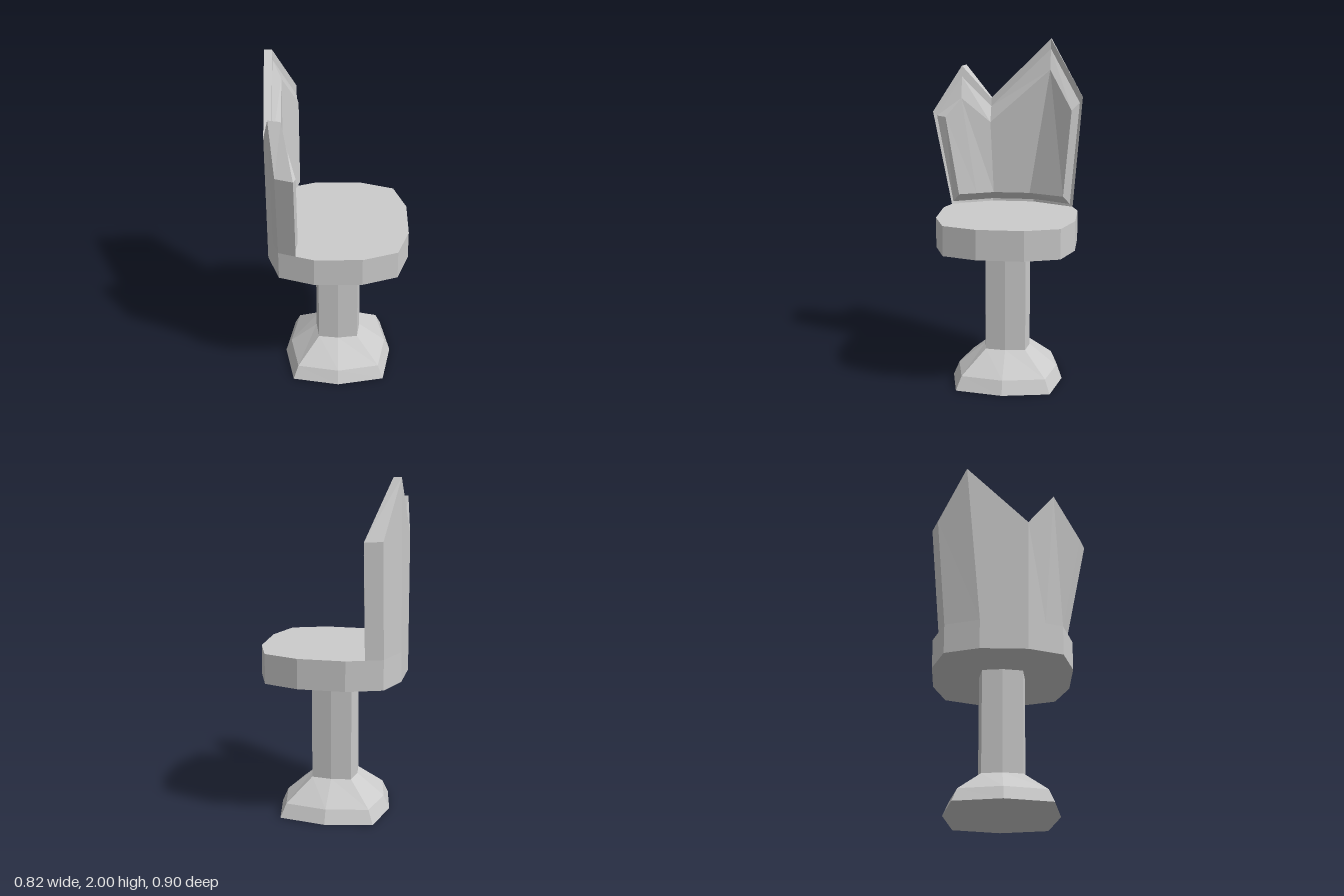
import * as THREE from 'three';

const material = new THREE.MeshStandardMaterial({ color: 0xcccccc, flatShading: true });

// Faceted solid through matching loops of points (clockwise seen from the last loop's side).
// Caps are laddered between point i and its partner n-1-i, so notched outlines work too.
function loft(name, loops) {
  const pos = [];
  const quad = (a, b, c, d) => [a, b, c, a, c, d].forEach((p) => pos.push(...p));
  const n = loops[0].length;
  for (let k = 0; k < loops.length - 1; k++) {
    const a = loops[k], b = loops[k + 1];
    for (let i = 0; i < n; i++) {
      const j = (i + 1) % n;
      quad(a[i], b[i], b[j], a[j]);
    }
  }
  const first = loops[0], last = loops[loops.length - 1];
  for (let i = 0; i < n / 2 - 1; i++) {
    const p = n - 1 - i;
    quad(last[i], last[p], last[p - 1], last[i + 1]);
    quad(first[i + 1], first[p - 1], first[p], first[i]);
  }
  const geometry = new THREE.BufferGeometry();
  geometry.setAttribute('position', new THREE.Float32BufferAttribute(pos, 3));
  geometry.computeVertexNormals();
  const mesh = new THREE.Mesh(geometry, material);
  mesh.name = name;
  return mesh;
}

const CZ = -0.03; // centre line of seat, column and foot

// Square ring with slightly bulging sides: c = corner, m = middle of a side
const bulgedSquare = (c, m, y) =>
  [[c, -c], [m, 0], [c, c], [0, m], [-c, c], [-m, 0], [-c, -c], [0, -m]]
    .map(([x, z]) => [x, y, z + CZ]);

// Twelve-sided seat outline
const seatRing = (y) =>
  [[0.41, -0.135], [0.41, 0.135], [0.34, 0.333], [0.137, 0.403],
    [-0.137, 0.403], [-0.34, 0.333], [-0.41, 0.135], [-0.41, -0.135],
    [-0.34, -0.333], [-0.137, -0.403], [0.137, -0.403], [0.34, -0.333]]
    .map(([x, z]) => [x, y, z + CZ]);

export function createModel() {
  const group = new THREE.Group();
  group.name = 'chair';

  group.add(loft('foot', [
    bulgedSquare(0.275, 0.328, 0),
    bulgedSquare(0.245, 0.293, 0.08),
    bulgedSquare(0.117, 0.133, 0.21),
  ]));
  group.add(loft('column', [
    bulgedSquare(0.117, 0.133, 0.21),
    bulgedSquare(0.117, 0.133, 0.83),
  ]));
  group.add(loft('seat', [seatRing(0.83), seatRing(1.005)]));

  // Backrest loops: five points along the two-peaked top, five back along the bottom
  const outer = [
    [-0.34, 1.57, 0.412], [-0.375, 1.84, 0.261], [-0.41, 1.64, 0.11], [-0.41, 2, -0.25], [-0.34, 1.67, -0.415],
    [-0.34, 1.005, -0.363], [-0.41, 1.005, -0.165], [-0.41, 1.005, 0.105], [-0.375, 1.005, 0.204], [-0.34, 1.005, 0.303],
  ];
  const rim = [
    [-0.24, 1.57, 0.447], [-0.303, 1.84, 0.279], [-0.365, 1.64, 0.11], [-0.365, 2, -0.25], [-0.24, 1.67, -0.45],
    [-0.24, 1.005, -0.398], [-0.365, 1.005, -0.15], [-0.365, 1.005, 0.1], [-0.303, 1.005, 0.219], [-0.24, 1.005, 0.338],
  ];
  const padEdge = [
    [-0.248, 1.545, 0.424], [-0.303, 1.775, 0.279], [-0.365, 1.59, 0.11], [-0.365, 1.94, -0.25], [-0.25, 1.635, -0.432],
    [-0.25, 1.02, -0.38], [-0.365, 1.02, -0.15], [-0.365, 1.02, 0.1], [-0.306, 1.02, 0.215], [-0.248, 1.02, 0.33],
  ];
  const padFace = [
    [-0.228, 1.54, 0.37], [-0.27, 1.65, 0.279], [-0.318, 1.5, 0.11], [-0.318, 1.82, -0.25], [-0.228, 1.59, -0.385],
    [-0.228, 1.068, -0.34], [-0.318, 1.068, -0.13], [-0.318, 1.068, 0.09], [-0.272, 1.068, 0.19], [-0.228, 1.068, 0.292],
  ];
  group.add(loft('backrest', [outer, rim, padEdge, padFace]));

  return group;
}
